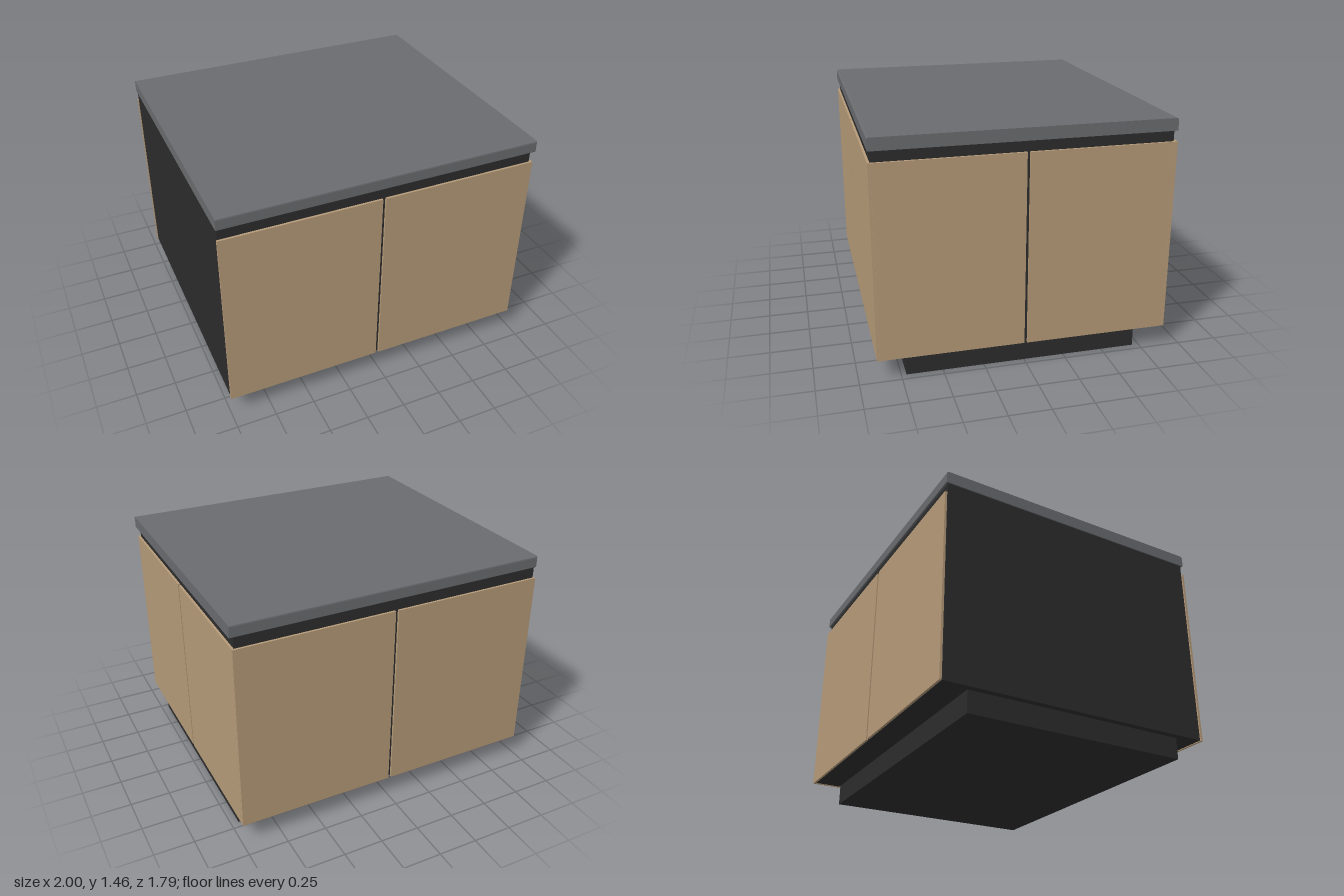
import * as THREE from 'three';

const mat = (name, color) => {
  const m = new THREE.MeshStandardMaterial({ color });
  m.name = name;
  return m;
};

export function createModel() {
  const wood = mat('oak wood', 0xb59a78);
  const dark = mat('black carcass', 0x2c2c2c);
  const stone = mat('grey worktop', 0x696b6e);
  const group = new THREE.Group();
  group.name = 'kitchenIsland';

  // Box given by its min and max on each axis
  const box = (name, material, [x0, x1], [y0, y1], [z0, z1]) => {
    const mesh = new THREE.Mesh(new THREE.BoxGeometry(x1 - x0, y1 - y0, z1 - z0), material);
    mesh.position.set((x0 + x1) / 2, (y0 + y1) / 2, (z0 + z1) / 2);
    mesh.name = name;
    group.add(mesh);
  };

  // Recessed plinth and carcass, which shows as a shadow gap under the worktop
  box('plinth', dark, [-0.953, 0.953], [0, 0.135], [-0.708, 0.72]);
  box('carcass', dark, [-0.993, 0.975], [0.135, 1.39], [-0.875, 0.875]);

  // Doors on front and back, overlapping the ends of the side doors
  const doorY = [0.132, 1.32];
  for (const [side, z] of [['front', [0.878, 0.892]], ['back', [-0.895, -0.881]]]) {
    box(side + 'DoorRight', wood, [-0.998, -0.02], doorY, z);
    box(side + 'DoorLeft', wood, [-0.001, 0.99], doorY, z);
  }
  // Doors on the left side; the right side stays plain
  box('sideDoorFront', wood, [0.976, 0.99], doorY, [0.009, 0.877]);
  box('sideDoorBack', wood, [0.976, 0.99], doorY, [-0.88, -0.009]);

  // Worktop: profile in z and y with eased front and back edges, run along x
  const h = 0.889, y0 = 1.388, y1 = 1.463, r = 0.014, b = 0.004;
  const s = new THREE.Shape();
  s.moveTo(-h + b, y0);
  s.lineTo(h - b, y0);
  s.quadraticCurveTo(h, y0, h, y0 + b);
  s.lineTo(h, y1 - r);
  s.quadraticCurveTo(h, y1, h - r, y1);
  s.lineTo(-h + r, y1);
  s.quadraticCurveTo(-h, y1, -h, y1 - r);
  s.lineTo(-h, y0 + b);
  s.quadraticCurveTo(-h, y0, -h + b, y0);
  const geo = new THREE.ExtrudeGeometry(s, { depth: 2, bevelEnabled: false, curveSegments: 6 });
  geo.translate(0, 0, -1).rotateY(Math.PI / 2);
  const worktop = new THREE.Mesh(geo, stone);
  worktop.position.z = 0.003;
  worktop.name = 'worktop';
  group.add(worktop);

  return group;
}
